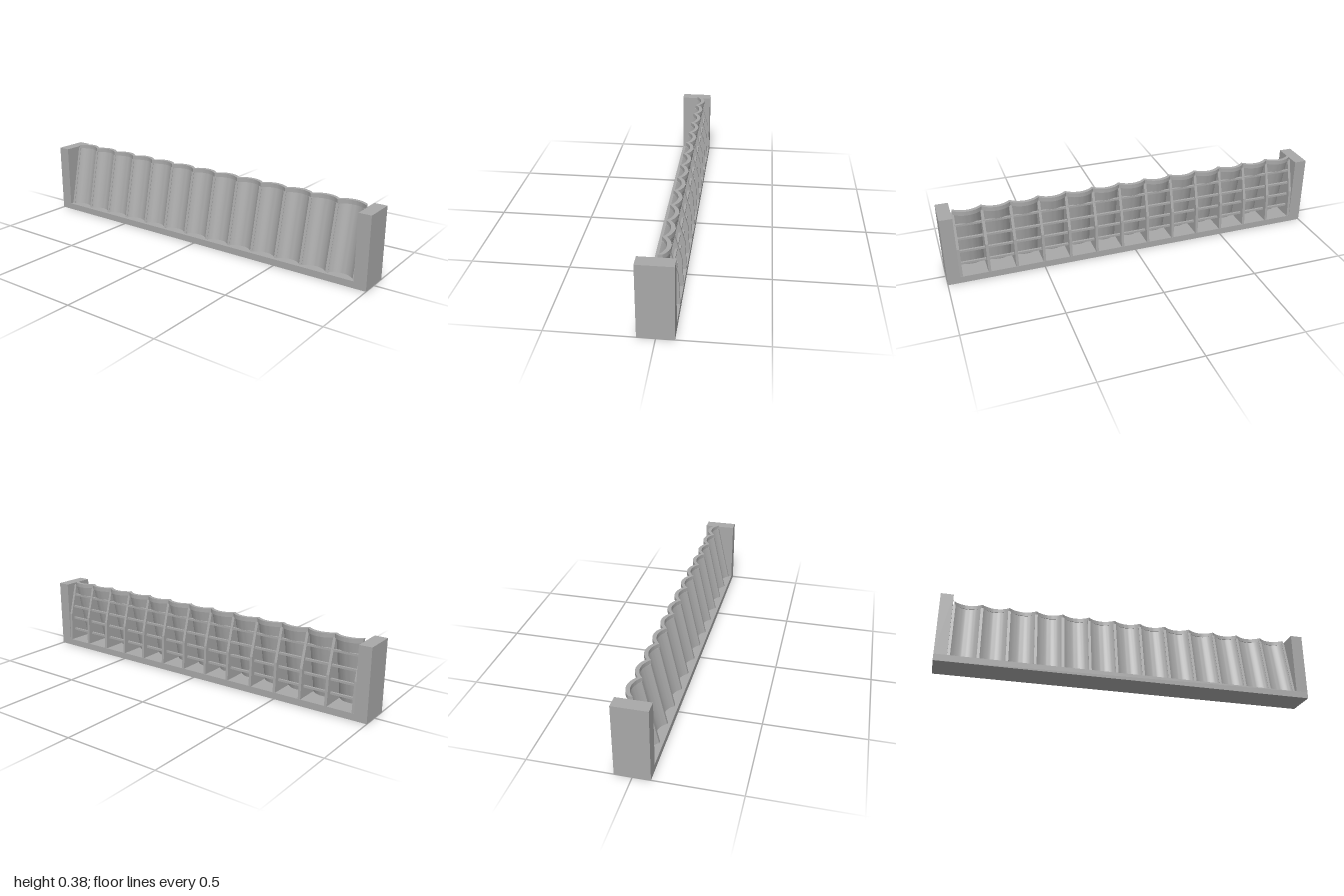
import * as THREE from 'three';
import { toCreasedNormals } from 'three/addons/utils/BufferGeometryUtils.js';

const BAYS = 13, EDGE = 0.928, PITCH = (2 * EDGE) / BAYS;
const FLOOR = 0.035, CREST = 0.362, TOP = 0.383, DEPTH = 0.17;
// z of the arch springing line: the wall leans backwards as it rises
const springZ = (y) => 0.067 - 0.072 * (y - FLOOR) / (CREST - FLOOR);

// Curved wall slab, bulging to the back, sheared along the lean
function archGeometry(halfWidth, rise, thick, y0, y1, lean) {
  const r = (halfWidth * halfWidth + rise * rise) / (2 * rise);
  const a = Math.asin(halfWidth / r), n = 20, inner = [], outer = [];
  for (let i = 0; i <= n; i++) {
    const t = -a + (2 * a * i) / n;
    const x = r * Math.sin(t), y = r * Math.cos(t) - r + rise;
    inner.push(new THREE.Vector2(x, y));
    outer.unshift(new THREE.Vector2(x, y + thick));
  }
  const shape = new THREE.Shape([...inner, ...outer]);
  const geo = new THREE.ExtrudeGeometry(shape, { depth: y1 - y0, bevelEnabled: false });
  geo.rotateX(-Math.PI / 2);
  geo.translate(0, y0, 0);
  const p = geo.attributes.position;
  for (let i = 0; i < p.count; i++) {
    p.setZ(i, p.getZ(i) + springZ(lean ? p.getY(i) : CREST));
  }
  return toCreasedNormals(geo, 0.6);
}

export function createModel() {
  const group = new THREE.Group();
  const concrete = new THREE.MeshStandardMaterial({ color: 0xa8a8a8 });
  concrete.name = 'concrete grey';

  const add = (name, geo, x = 0, y = 0, z = 0) => {
    const mesh = new THREE.Mesh(geo, concrete);
    mesh.name = name;
    mesh.position.set(x, y, z);
    group.add(mesh);
  };

  // Foundation slab and end abutments
  add('foundation', new THREE.BoxGeometry(2, FLOOR, DEPTH), 0, FLOOR / 2);
  for (const s of [-1, 1]) {
    add('abutment', new THREE.BoxGeometry(0.065, 0.373 - FLOOR, DEPTH), s * 0.9675, (0.373 + FLOOR) / 2);
  }

  // Leaning arch walls with a thicker crest rim
  const wall = archGeometry(0.066, 0.034, 0.014, FLOOR, CREST, true);
  const rim = archGeometry(PITCH / 2, 0.03, 0.02, CREST, TOP, false);
  for (let i = 0; i < BAYS; i++) {
    const x = -EDGE + (i + 0.5) * PITCH;
    add('archWall', wall, x);
    add('crestRim', rim, x);
  }

  // Buttresses: profile drawn with z across and y up
  const profile = new THREE.Shape([
    [springZ(FLOOR), FLOOR], [springZ(CREST), CREST + 0.002], [-0.027, CREST + 0.002],
    [-0.076, 0.19], [-0.084, FLOOR],
  ].map(([z, y]) => new THREE.Vector2(-z, y)));
  const width = 0.014;
  const buttress = new THREE.ExtrudeGeometry(profile, { depth: width, bevelEnabled: false });
  buttress.translate(0, 0, -width / 2);
  buttress.rotateY(Math.PI / 2);
  for (let i = 0; i <= BAYS; i++) add('buttress', buttress, -EDGE + i * PITCH);

  // Horizontal struts tying the buttresses together
  const strut = new THREE.BoxGeometry(2 * EDGE, 0.011, 0.011);
  for (const [y, z] of [[0.095, -0.052], [0.165, -0.053], [0.235, -0.05], [0.305, -0.037]]) {
    add('strut', strut, 0, y, z);
  }
  return group;
}
